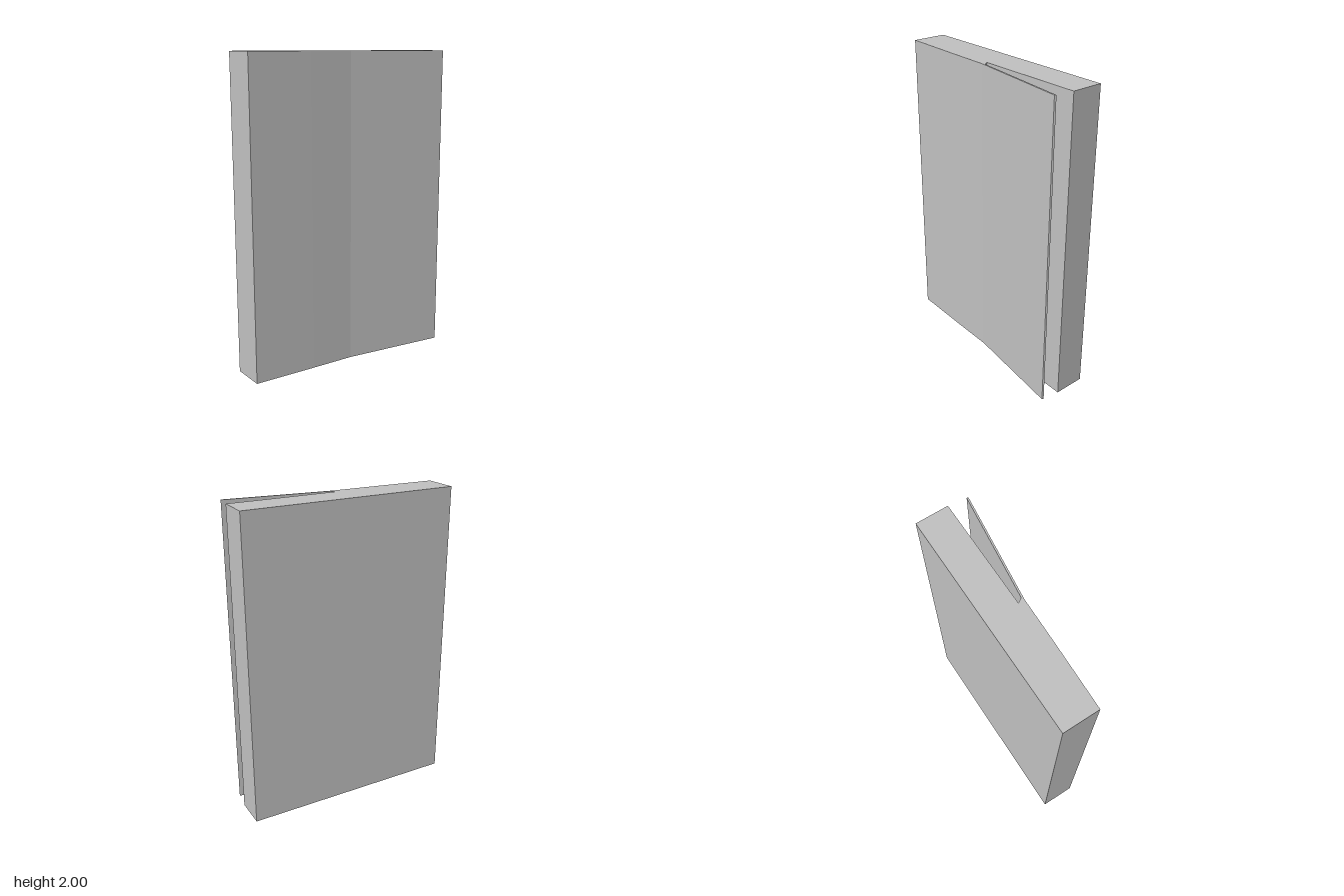
import * as THREE from 'three';

const HEIGHT = 2;

// Extrudes a plan outline, given as [x, z] points, straight up from y = 0.
function upright(name, outline, material) {
  const shape = new THREE.Shape(outline.map(([x, z]) => new THREE.Vector2(x, -z)));
  const geometry = new THREE.ExtrudeGeometry(shape, { depth: HEIGHT, bevelEnabled: false });
  geometry.rotateX(-Math.PI / 2);
  const mesh = new THREE.Mesh(geometry, material);
  mesh.name = name;
  return mesh;
}

export function createModel() {
  const model = new THREE.Group();
  model.name = 'slabWithOpenLeaf';

  const grey = new THREE.MeshStandardMaterial({ color: 0xc0c0c0 });
  grey.name = 'light grey';

  // One closed outline: thick slab whose front skin runs on into a thin, opened leaf
  model.add(upright('slabAndLeaf', [
    [-0.7, -0.163],
    [-0.7, 0.061],    // slab front, gently bowed
    [-0.29, 0.073],
    [0, 0.079],       // hinge
    [0.682, 0.163],   // leaf tip, outer
    [0.687, 0.153],   // leaf tip, inner
    [0.018, 0.07],    // root of the gap
    [0, 0.041],
    [0.7, 0.041],     // slab front behind the leaf
    [0.7, -0.163],
  ], grey));

  return model;
}
